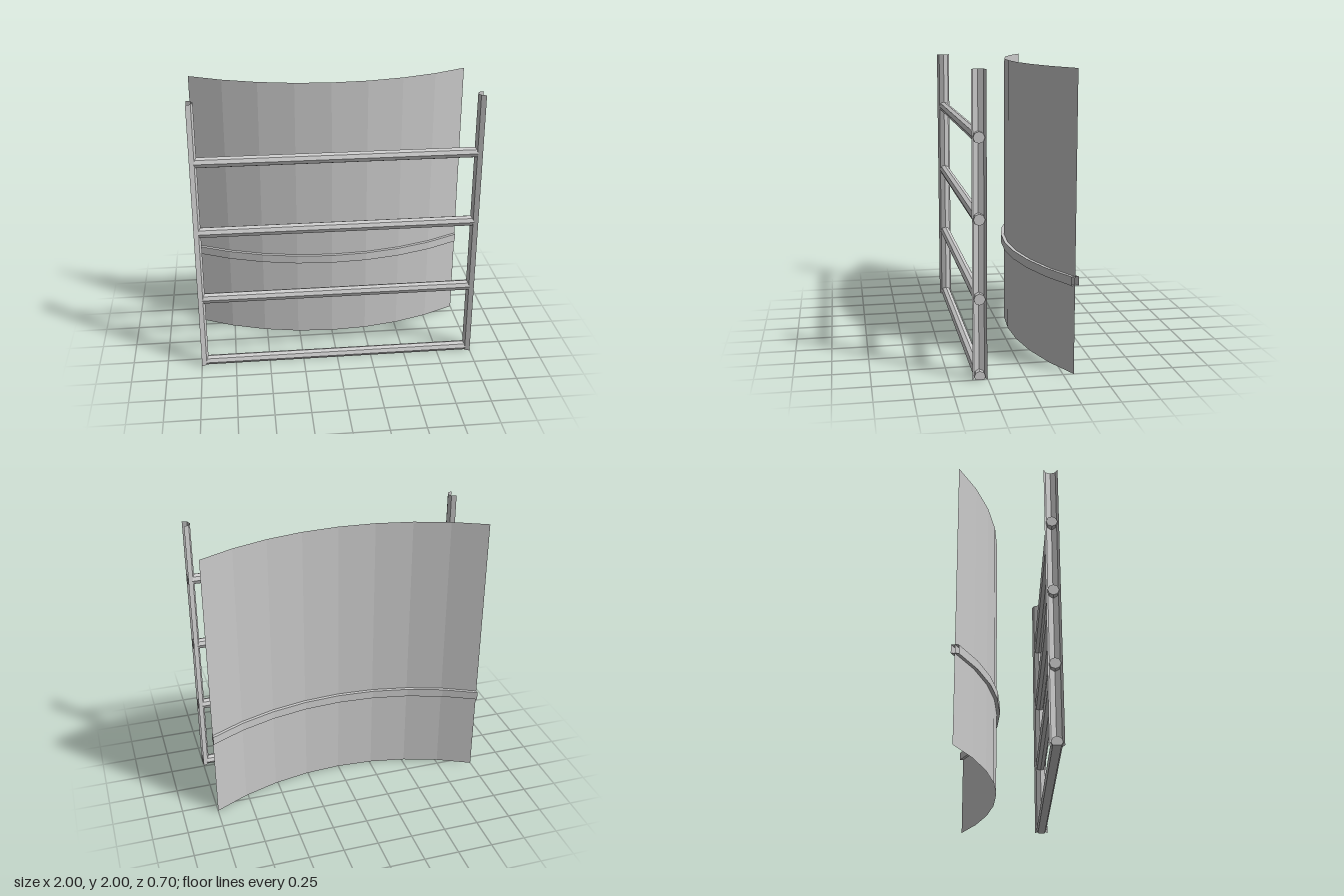
import * as THREE from 'three';

const ARC_R = 2.02, ARC_HALF = Math.asin(1 / ARC_R), FRONT_Z = -0.057;
const RAIL_Z = 0.302, RAIL_R = 0.038, POST_R = 0.048;

const material = new THREE.MeshStandardMaterial({
  color: 0xcccccc, flatShading: true, side: THREE.DoubleSide,
});

function addMesh(group, name, geometry, x = 0, y = 0, z = 0) {
  const mesh = new THREE.Mesh(geometry, material);
  mesh.name = name;
  mesh.position.set(x, y, z);
  group.add(mesh);
  return mesh;
}

// Bends a flat shape spanning x = -1..1 along a circular arc bulging to the front
function bend(geometry) {
  const p = geometry.attributes.position;
  for (let i = 0; i < p.count; i++) {
    const a = p.getX(i) * ARC_HALF;
    p.setX(i, ARC_R * Math.sin(a));
    p.setZ(i, p.getZ(i) + FRONT_Z + ARC_R * (Math.cos(a) - 1));
  }
  geometry.computeVertexNormals();
  return geometry;
}

export function createModel() {
  const model = new THREE.Group();
  model.name = 'curvedPanelWithRailing';

  // Thin curved panel
  addMesh(model, 'curvedPanel', bend(new THREE.PlaneGeometry(2, 2, 8, 1)), 0, 1, 0);

  // Band wrapped around the panel, open at both ends
  const band = new THREE.BoxGeometry(2, 0.06, 0.05, 8, 1, 1);
  band.setIndex(Array.from(band.index.array).slice(12)); // drop the two end faces
  band.clearGroups();
  addMesh(model, 'panelBand', bend(band), 0, 0.633, 0);

  // Half-pipe posts, open to the outside
  for (const side of [1, -1]) {
    const post = new THREE.CylinderGeometry(
      POST_R, POST_R, 2, 4, 1, true, side > 0 ? Math.PI : 0, Math.PI);
    addMesh(model, side > 0 ? 'leftPost' : 'rightPost', post, side, 1, RAIL_Z);
  }

  // Eight-sided horizontal rails; the lowest is cut flat at the ground
  for (let i = 0; i < 4; i++) {
    const y = 0.02 + i * 0.52;
    const rail = new THREE.CylinderGeometry(RAIL_R, RAIL_R, 2, 8).rotateZ(Math.PI / 2);
    const p = rail.attributes.position;
    for (let k = 0; k < p.count; k++) p.setY(k, Math.max(p.getY(k), -y));
    rail.computeVertexNormals();
    addMesh(model, 'rail' + (i + 1), rail, 0, y, RAIL_Z);
  }

  return model;
}
